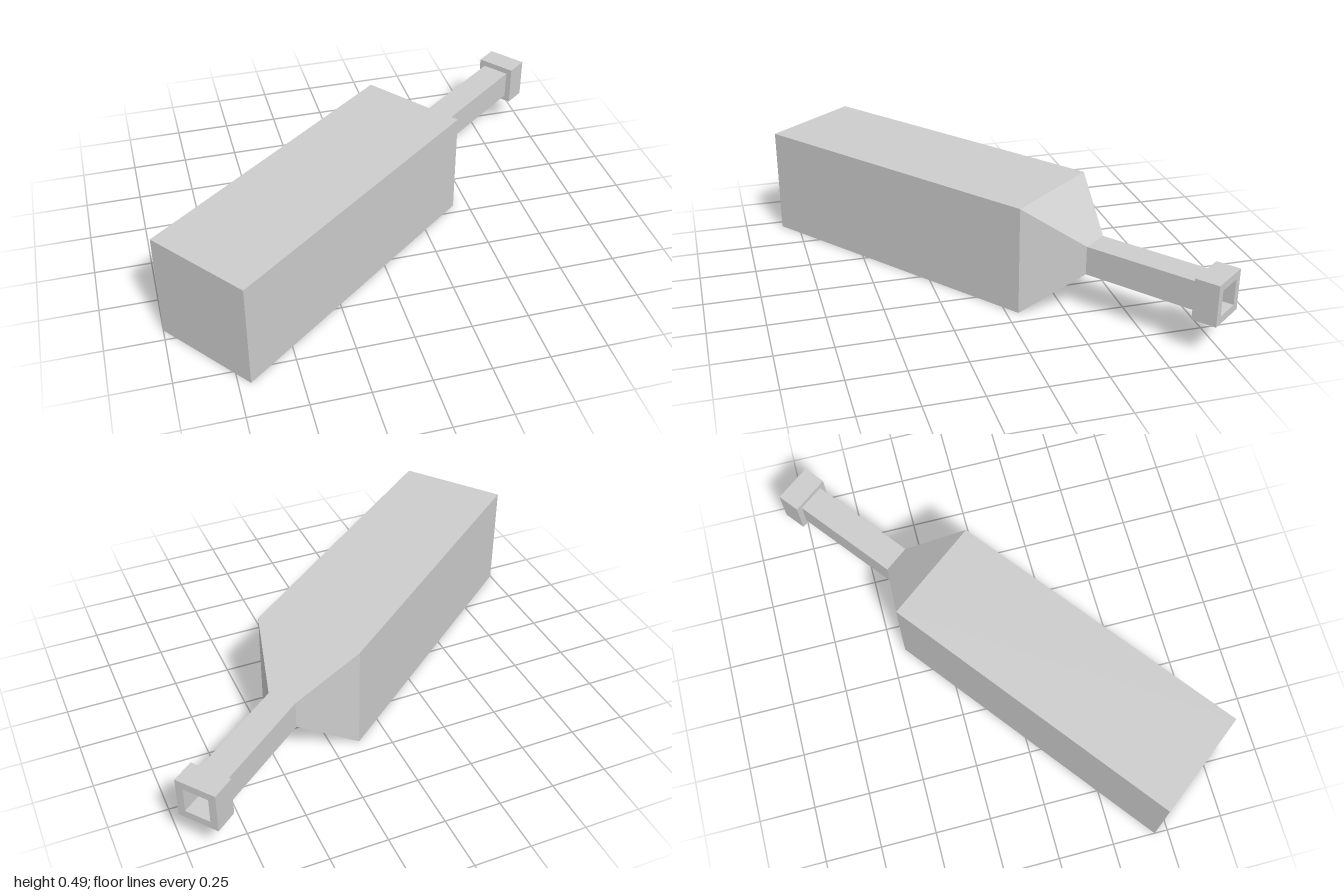
import * as THREE from 'three';

export function createModel() {
  const group = new THREE.Group();
  group.name = 'squareBottle';
  const glass = new THREE.MeshStandardMaterial({ color: 0xcccccc });
  glass.name = 'pale grey';

  // Square-section part from a profile of [half width, distance along the axis]
  function addPart(name, profile) {
    const points = profile.map(([half, d]) => new THREE.Vector2(half * Math.SQRT2, d));
    const geometry = new THREE.LatheGeometry(points, 4, Math.PI / 4).toNonIndexed();
    geometry.computeVertexNormals(); // flat faces
    const mesh = new THREE.Mesh(geometry, glass);
    mesh.name = name;
    group.add(mesh);
  }

  const body = 0.245, neck = 0.065, collar = 0.0925, bore = 0.058;
  const shoulderStart = 1.432, neckStart = 1.65, collarStart = 2.163, top = 2.27;

  addPart('body', [[0, 0], [body, 0], [body, shoulderStart]]);
  addPart('shoulder', [[body, shoulderStart], [neck, neckStart]]);
  addPart('neck', [[neck, neckStart], [neck, collarStart]]);
  addPart('collar', [[neck, collarStart], [collar, collarStart], [collar, top], [bore, top]]);
  // Square opening running down inside the neck
  addPart('mouth', [[bore, top], [bore, neckStart], [0, neckStart]]);

  // Lay the bottle on its side, pointing to the back left
  group.rotation.set(0, 0.661, -Math.PI / 2);
  group.position.set(-0.85, body, 0.635);

  const model = new THREE.Group();
  model.name = 'bottle';
  model.add(group);
  return model;
}
